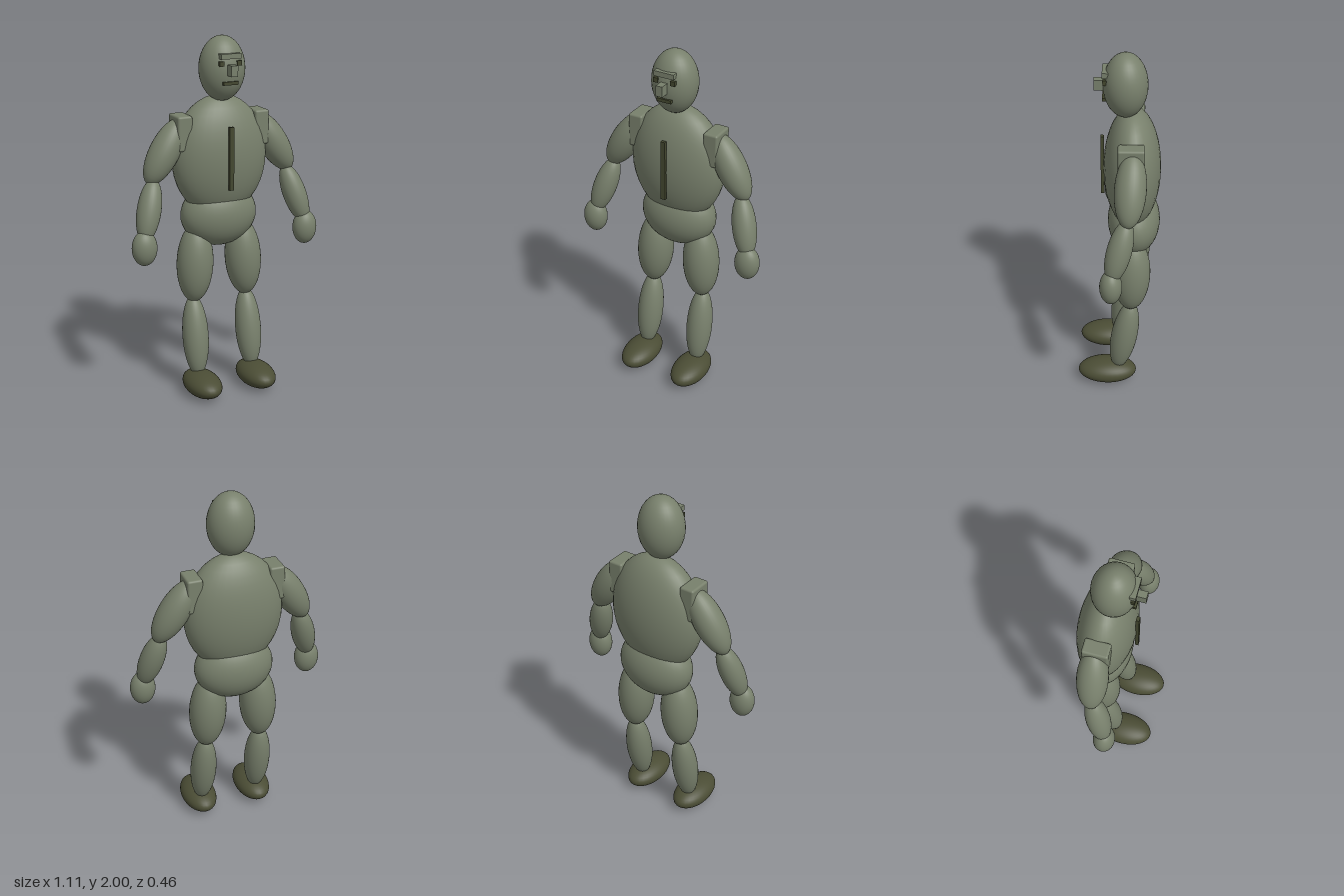
import * as THREE from 'three';
import { RoundedBoxGeometry } from 'three/addons/geometries/RoundedBoxGeometry.js';

export function createModel() {
  const group = new THREE.Group();
  const mat = (name, color) => {
    const m = new THREE.MeshStandardMaterial({ color });
    m.name = name;
    return m;
  };
  const body = mat('sage green', 0x78806c);
  const boot = mat('dark olive', 0x4b4d35);
  const trim = mat('deep olive', 0x43472f);

  const add = (name, geometry, material, pos) => {
    const mesh = new THREE.Mesh(geometry, material);
    mesh.name = name;
    mesh.position.set(...pos);
    group.add(mesh);
    return mesh;
  };
  const ball = (name, pos, radii, material = body) =>
    add(name, new THREE.SphereGeometry(1, 32, 20).scale(...radii), material, pos);
  const box = (name, pos, size, material) =>
    add(name, new THREE.BoxGeometry(...size), material, pos);

  // Ellipsoid whose long axis runs from a to b
  const up = new THREE.Vector3(0, 1, 0);
  const limb = (name, a, b, r) => {
    const p = new THREE.Vector3(...a), q = new THREE.Vector3(...b);
    const axis = p.clone().sub(q);
    const mid = p.clone().add(q).multiplyScalar(0.5);
    const mesh = ball(name, mid.toArray(), [r, axis.length() / 2, r]);
    mesh.quaternion.setFromUnitVectors(up, axis.normalize());
  };

  // Trunk and head
  ball('head', [0, 1.825, -0.037], [0.127, 0.175, 0.117]);
  ball('torso', [0, 1.34, -0.074], [0.275, 0.34, 0.154]);
  ball('hips', [0, 1.01, -0.085], [0.222, 0.182, 0.143]);
  box('zip', [0, 1.353, 0.085], [0.026, 0.346, 0.018], trim);

  // Face
  box('brow', [0, 1.901, 0.067], [0.116, 0.028, 0.032], body);
  box('nose', [0, 1.829, 0.092], [0.038, 0.058, 0.07], body);
  box('mouth', [0, 1.759, 0.068], [0.084, 0.018, 0.03], trim);

  // Paired parts
  for (const [side, s] of [['left', 1], ['right', -1]]) {
    box(side + 'Eye', [s * 0.05, 1.863, 0.067], [0.026, 0.026, 0.026], trim);
    add(side + 'ShoulderPad', new RoundedBoxGeometry(0.084, 0.19, 0.14, 3, 0.012), body,
      [s * 0.227, 1.49, -0.07]);
    limb(side + 'UpperArm', [s * 0.22, 1.56, -0.08], [s * 0.425, 1.225, -0.055], 0.083);
    limb(side + 'Forearm', [s * 0.392, 1.255, -0.055], [s * 0.485, 0.93, 0.03], 0.066);
    ball(side + 'Hand', [s * 0.484, 0.9, 0.03], [0.07, 0.097, 0.06]);
    limb(side + 'Thigh', [s * 0.135, 0.965, -0.082], [s * 0.16, 0.515, -0.07], 0.103);
    limb(side + 'Shin', [s * 0.162, 0.55, -0.077], [s * 0.167, 0.09, 0.003], 0.074);
    ball(side + 'Foot', [s * 0.167, 0.068, 0.061], [0.099, 0.067, 0.167], boot);
  }
  return group;
}
